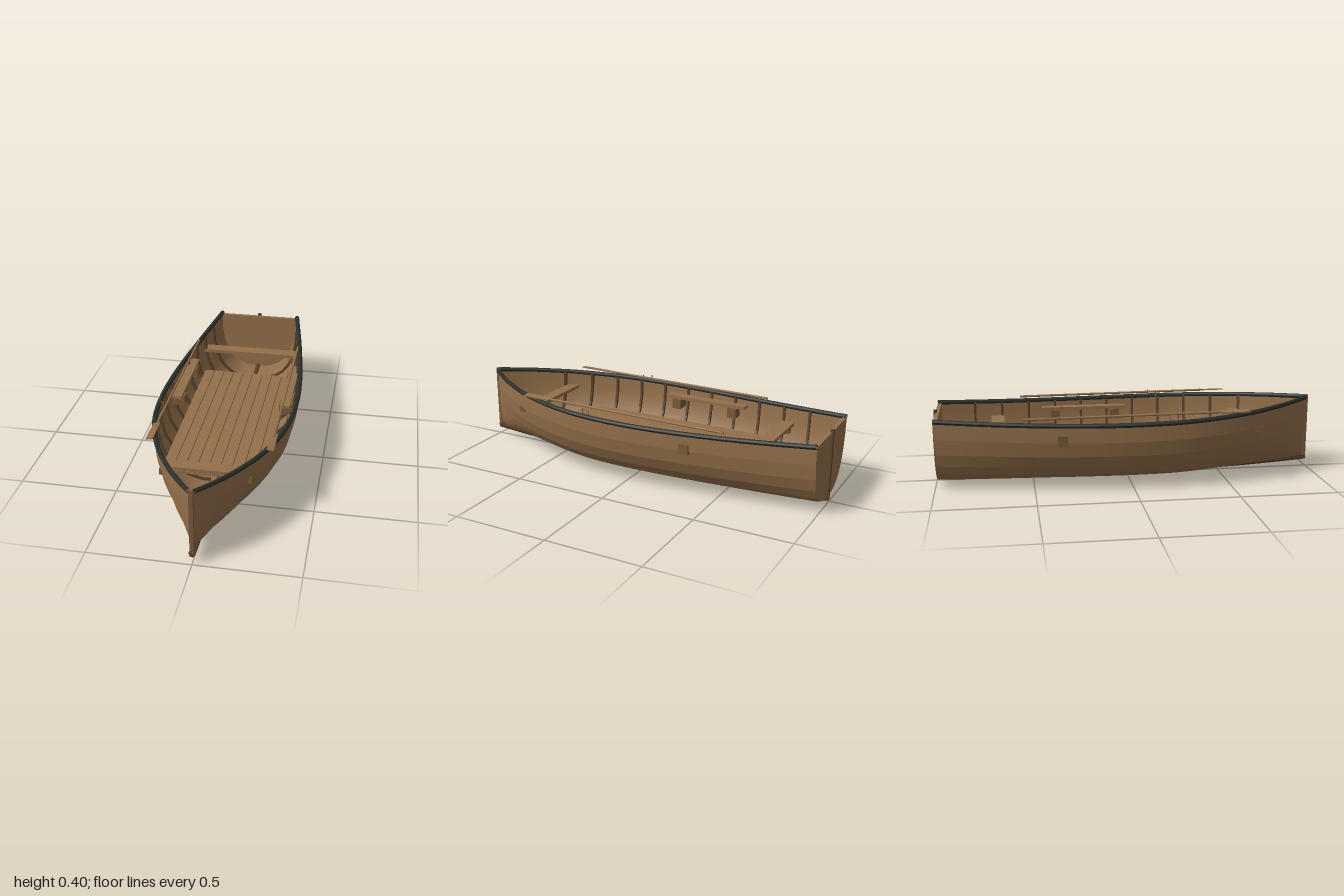
import * as THREE from 'three';
import { mergeGeometries } from 'three/addons/utils/BufferGeometryUtils.js';

const mat = (name, color) => new THREE.MeshStandardMaterial({ name, color, side: THREE.DoubleSide });
const V = (x, y, z) => new THREE.Vector3(x, y, z);

// Hull lines: half beam, sheer height and bottom height along z
const beamCurve = new THREE.SplineCurve([
  [-0.99, 0.232], [-0.6, 0.292], [-0.2, 0.338], [0.1, 0.347], [0.35, 0.322],
  [0.6, 0.247], [0.8, 0.143], [0.93, 0.052], [0.985, 0.008],
].map(p => new THREE.Vector2(...p))).getPoints(200);
function beam(z) {
  for (let i = 1; i < beamCurve.length; i++) {
    const a = beamCurve[i - 1], b = beamCurve[i];
    if (z <= b.x) return a.y + (b.y - a.y) * (z - a.x) / (b.x - a.x);
  }
  return 0.008;
}
const sheer = z => 0.343 + (z > -0.15 ? 0.044 * ((z + 0.15) / 1.14) ** 2 : 0.022 * ((z + 0.15) / 0.84) ** 2);
const bottom = z => 0.022 + (z > 0 ? 0.04 * z * z : 0.004 * z * z);

// Plank edges of the section, as fractions of half beam and depth
const NX = [0, 0.31, 0.53, 0.70, 0.83, 0.93, 0.985, 1];
const NY = [0, 0.015, 0.08, 0.18, 0.32, 0.51, 0.74, 1];
function node(z, i) {
  const t = Math.max(0, (z - 0.2) / 0.8);
  const k = 1 + 0.7 * t * t * (3 - 2 * t);
  return new THREE.Vector2(beam(z) * NX[i] ** k, bottom(z) + (sheer(z) - bottom(z)) * NY[i]);
}
// Node moved along the outward section normal
function shifted(z, i, d) {
  const a = node(z, Math.max(0, i - 1)), b = node(z, Math.min(7, i + 1));
  const t = b.sub(a).normalize(), p = node(z, i);
  return new THREE.Vector2(Math.max(0, p.x + t.y * d), p.y - t.x * d);
}
function widthAt(z, y) {
  for (let i = 1; i < 8; i++) {
    const a = node(z, i - 1), b = node(z, i);
    if (y <= b.y) return a.x + (b.x - a.x) * (y - a.y) / (b.y - a.y);
  }
  return beam(z);
}

// Surface through rows of points; solid bars are closed, capped and flat
function loft(rows, solid = false) {
  const n = rows[0].length, pos = [], idx = [];
  rows.forEach(r => r.forEach(p => pos.push(p.x, p.y, p.z)));
  for (let r = 0; r < rows.length - 1; r++)
    for (let c = 0; c < (solid ? n : n - 1); c++) {
      const d = (c + 1) % n, a = r * n, b = a + n;
      idx.push(a + c, b + c, a + d, a + d, b + c, b + d);
    }
  if (solid) for (let c = 1; c < n - 1; c++) {
    const e = (rows.length - 1) * n;
    idx.push(0, c, c + 1, e, e + c + 1, e + c);
  }
  let g = new THREE.BufferGeometry();
  g.setAttribute('position', new THREE.Float32BufferAttribute(pos, 3));
  g.setIndex(idx);
  if (solid) g = g.toNonIndexed();
  g.computeVertexNormals();
  return g;
}
const range = (a, b, n) => Array.from({ length: n + 1 }, (_, i) => a + (b - a) * i / n);

export function createModel() {
  const wood = mat('wood', 0x94704a);
  const midWood = mat('mid wood', 0x7a5b3c);
  const darkWood = mat('dark wood', 0x5a432c);
  const rimPaint = mat('rim paint', 0x2a302c);
  const boat = new THREE.Group();
  const add = (name, geo, m, parent = boat) => {
    const mesh = new THREE.Mesh(geo, m);
    mesh.name = name;
    parent.add(mesh);
    return mesh;
  };
  const box = (name, m, w, h, d, x, y, z) => add(name, new THREE.BoxGeometry(w, h, d), m).position.set(x, y, z);
  const zs = range(-0.985, 0.985, 60);

  // Overlapping planks, each with its narrow lower edge, and a smooth lining
  const planks = [], lining = [];
  for (const s of [1, -1]) {
    const at = (p, z) => V(s * p.x, p.y, z);
    const lap = z => 0.006 * Math.min(1, beam(z) / 0.15);
    for (let i = 0; i < 7; i++) {
      planks.push(loft(zs.map(z => [at(shifted(z, i, i ? lap(z) : 0), z), at(node(z, i + 1), z)])));
      if (i) planks.push(loft(zs.map(z => [at(node(z, i), z), at(shifted(z, i, lap(z)), z)])));
    }
    lining.push(loft(zs.map(z => NX.map((_, i) => at(shifted(z, i, -0.8 * lap(z)), z)))));
  }
  add('hullPlanks', mergeGeometries(planks), wood);
  add('hullLining', mergeGeometries(lining), wood);

  // Flat stern board
  const half = NX.map((_, i) => node(-0.985, i));
  const outline = [...half, ...half.slice(1).reverse().map(p => new THREE.Vector2(-p.x, p.y))];
  const transom = new THREE.ExtrudeGeometry(new THREE.Shape(outline), { depth: 0.02, bevelEnabled: false });
  add('transom', transom, wood).position.z = -0.992;
  box('sternPost', darkWood, 0.018, 0.37, 0.016, 0, 0.193, -0.992);

  // Stem, keel and inner keelson
  box('stem', midWood, 0.02, 0.34, 0.022, 0, 0.232, 0.985);
  add('keel', loft(range(-0.99, 0.995, 40).map(z => {
    const y = bottom(z);
    return [[-0.014, 0.006], [-0.014, -0.01], [-0.007, -0.02], [0.007, -0.02], [0.014, -0.01], [0.014, 0.006]]
      .map(([x, d]) => V(x, y + d, z));
  }), true), darkWood);
  add('keelson', loft(range(-0.97, 0.97, 40).map(z =>
    [[-0.008, 0], [0.008, 0], [0.008, 0.022], [-0.008, 0.022]].map(([x, d]) => V(x, bottom(z) + d, z))), true), darkWood);

  for (const s of [1, -1]) {
    const side = s > 0 ? 'left' : 'right';

    // Rounded dark rim along the top edge
    add(side + 'Gunwale', loft(range(-0.992, 0.985, 60).map(z => range(0, Math.PI * 2, 10).map(a =>
      V(s * Math.max(0, beam(z) + 0.001 + 0.013 * Math.cos(a)), sheer(z) + 0.003 + 0.012 * Math.sin(a), z)))), rimPaint);

    // Ribs bent to the inside of the planks
    for (let k = -6; k <= 4; k++) {
      const z = 0.08 + 0.146 * k;
      const corners = [[-0.006, -0.004], [-0.006, -0.018], [0.006, -0.018], [0.006, -0.004]];
      const rows = range(1, 7, 6).map(i => corners.map(([dz, d]) => {
        const p = shifted(z + dz, i, d);
        return V(s * p.x, p.y, z + dz);
      }));
      rows.unshift(rows[0].map(p => V(s * 0.04, p.y, p.z)));
      add(side + 'Rib', loft(rows, true), darkWood);
    }

    // Side bench on two blocks
    box(side + 'Bench', wood, 0.05, 0.016, 0.46, s * 0.288, 0.306, -0.2);
    box(side + 'BenchBlock', midWood, 0.08, 0.054, 0.05, s * 0.294, 0.271, -0.36);
    box(side + 'BenchBlock', midWood, 0.07, 0.054, 0.05, s * 0.289, 0.271, -0.03);

    // Blocks holding the thwart ends
    box(side + 'BowBlock', midWood, 0.05, 0.03, 0.04, s * 0.195, 0.272, 0.667);
    box(side + 'SternBlock', midWood, 0.035, 0.04, 0.04, s * 0.25, 0.24, -0.675);

    // Thole pins
    for (const [x, z] of [[0.341, 0.17], [0.321, 0.215]])
      add(side + 'TholePin', new THREE.CylinderGeometry(0.003, 0.003, 0.04, 8), midWood).position.set(s * x, 0.364, z);

    // Oar lying along the rim, blade forward
    const oar = new THREE.Group();
    oar.name = side + 'Oar';
    add('oarShaft', new THREE.CylinderGeometry(0.006, 0.006, 1.02, 10), wood, oar).rotation.x = Math.PI / 2;
    const blade = add('oarBlade', new THREE.BoxGeometry(0.034, 0.006, 0.15), wood, oar);
    blade.position.z = 0.555;
    blade.rotation.z = -s * 0.15;
    oar.position.set(s * 0.288, 0.381, -0.04);
    oar.rotation.x = -0.009;
    boat.add(oar);
  }

  // Cross seats cut to meet the hull sides
  for (const [name, z0, z1, y] of [['bowThwart', 0.598, 0.662, 0.281], ['sternThwart', -0.71, -0.64, 0.268]])
    add(name, loft([z0, z1].map(z => {
      const w = widthAt(z, y - 0.009) - 0.002;
      return [V(-w, y - 0.009, z), V(w, y - 0.009, z), V(w, y + 0.009, z), V(-w, y + 0.009, z)];
    }), true), wood);

  // Floor boards trimmed to the hull, over a dark bearer
  const floorY = 0.175;
  for (let i = -4; i <= 4; i++) {
    const edge = (Math.abs(i) + 0.5) * 0.057;
    const fit = range(-0.56, 0.53, 80).filter(z => widthAt(z, floorY) > edge);
    const a = fit[0], b = fit[fit.length - 1];
    box('floorBoard', wood, 0.0535, 0.012, b - a, i * 0.057, floorY, (a + b) / 2);
  }
  box('floorBearer', darkWood, 0.42, 0.006, 1.06, 0, floorY - 0.009, -0.02);

  return boat;
}
